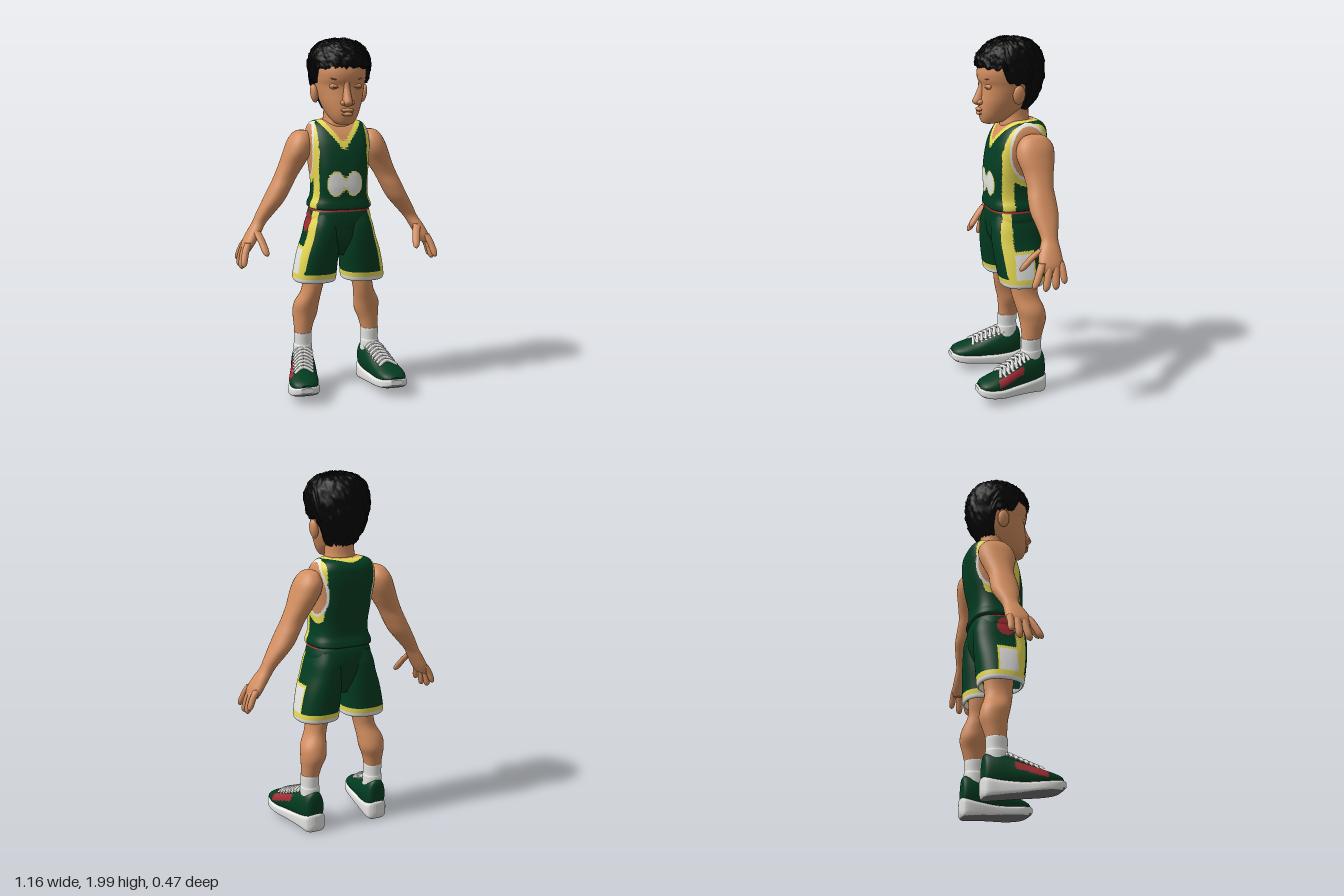
import * as THREE from 'three';

const mat = (name, color) => {
  const m = new THREE.MeshStandardMaterial({ color });
  m.name = name;
  return m;
};

// Catmull-Rom through rows of numbers, t in 0..1
function sample(rows, t) {
  const n = rows.length - 1, f = Math.min(t * n, n - 1e-6), i = Math.floor(f), k = f - i;
  const at = j => rows[Math.max(0, Math.min(n, j))];
  const [a, b, c, d] = [at(i - 1), at(i), at(i + 1), at(i + 2)];
  return b.map((_, j) => b[j] + 0.5 * k * (c[j] - a[j] + k * (2 * a[j] - 5 * b[j] + 4 * c[j] - d[j]
    + k * (3 * (b[j] - c[j]) + d[j] - a[j]))));
}

// Closed surface from a grid of points; rule(x, y, z) picks the material of each face
function skin(name, points, mats, rule) {
  const seg = points[0].length, rows = points.length;
  const centre = r => r.reduce((s, p) => s.map((v, i) => v + p[i] / seg), [0, 0, 0]);
  const cap = r => Array(seg).fill(centre(r));
  const all = [cap(points[0]), points[0], ...points, points[rows - 1], cap(points[rows - 1])];
  const v = all.flat(), buckets = mats.map(() => []);
  let volume = 0;
  const tris = [];
  for (let r = 0; r < all.length - 1; r++) for (let s = 0; s < seg; s++) {
    const a = r * seg + s, b = r * seg + (s + 1) % seg, c = a + seg, d = b + seg;
    tris.push([a, b, d], [a, d, c]);
  }
  for (const [a, b, c] of tris) {
    const [p, q, w] = [v[a], v[b], v[c]];
    volume += p[0] * (q[1] * w[2] - q[2] * w[1]) + p[1] * (q[2] * w[0] - q[0] * w[2]) + p[2] * (q[0] * w[1] - q[1] * w[0]);
  }
  for (const [a, b, c] of tris) {
    const mid = [0, 1, 2].map(i => (v[a][i] + v[b][i] + v[c][i]) / 3);
    buckets[rule ? rule(...mid) : 0].push(...(volume > 0 ? [a, b, c] : [a, c, b]));
  }
  const g = new THREE.BufferGeometry();
  g.setAttribute('position', new THREE.Float32BufferAttribute(v.flat(), 3));
  g.setIndex(buckets.flat());
  let start = 0;
  buckets.forEach((b, i) => { if (b.length) g.addGroup(start, b.length, i); start += b.length; });
  g.computeVertexNormals();
  const mesh = new THREE.Mesh(g, mats.length > 1 ? mats : mats[0]);
  mesh.name = name;
  return mesh;
}

// One superellipse ring; section = [position on axis, centre x, half width, low, high]
function ring([t, cx, rx, lo, hi], seg, pow, axis, side) {
  return Array.from({ length: seg }, (_, i) => {
    const a = i / seg * Math.PI * 2, e = 2 / pow;
    const f = w => Math.sign(w) * Math.abs(w) ** e;
    const x = side * (cx + rx * f(Math.cos(a))), o = (lo + hi) / 2 + (hi - lo) / 2 * f(Math.sin(a));
    return axis === 'y' ? [x, t, o] : [x, o, t];
  });
}

function loft(name, sections, mats, { seg = 28, rows = 32, pow = 2.1, axis = 'y', side = 1, rule } = {}) {
  const pts = Array.from({ length: rows + 1 }, (_, r) => ring(sample(sections, r / rows), seg, pow, axis, side));
  return skin(name, pts, mats, rule);
}

export function createModel() {
  const model = new THREE.Group();
  model.name = 'basketballPlayer';
  const flesh = mat('skin', 0xd38e5f), shade = mat('skinShade', 0xa86a46), black = mat('hairBlack', 0x030304);
  const green = mat('jerseyGreen', 0x023c21), yellow = mat('trimYellow', 0xe8da52), white = mat('white', 0xe4e4e2);
  const red = mat('accentRed', 0xa02a32), rubber = mat('soleGrey', 0x757577);
  const kit = [green, yellow, white, red, flesh];
  const add = (...m) => model.add(...m);
  const blob = (name, m, pos, scale, rotZ = 0) => {
    const b = new THREE.Mesh(new THREE.SphereGeometry(1, 20, 14), m);
    b.name = name;
    b.position.set(...pos);
    b.scale.set(...scale);
    b.rotation.z = rotZ;
    add(b);
  };

  // Jersey: V neck, armhole trim, side stripes and two chest patches
  add(loft('jersey', [
    [1.058, 0, 0.155, -0.185, 0.075], [1.066, 0, 0.174, -0.205, 0.09], [1.09, 0, 0.173, -0.202, 0.09],
    [1.13, 0, 0.158, -0.193, 0.085], [1.2, 0, 0.154, -0.2, 0.09], [1.3, 0, 0.163, -0.222, 0.086],
    [1.4, 0, 0.174, -0.235, 0.066], [1.46, 0, 0.174, -0.236, 0.042], [1.505, 0, 0.163, -0.23, 0.012],
    [1.535, 0, 0.138, -0.207, -0.02], [1.548, 0, 0.09, -0.17, -0.04]], kit, {
    seg: 128, rows: 120, pow: 3, rule: (x, y, z) => {
      const ax = Math.abs(x), v = y - 1.385 - ax * 1.27;
      const nape = y > 1.45 ? Math.hypot(ax / 0.115, (z + 0.08) / 0.13) : 2;
      if (z > -0.08 ? v > 0.042 : nape < 0.76) return 4;
      if (z > -0.08 ? v > 0 : nape < 1.03) return 1;
      const hole = Math.hypot((y - 1.385) / 0.15, (z + 0.1) / 0.105);
      if (ax > 0.125 && hole < 0.94) return 4;
      if (ax > 0.125 && hole < 1.04) return 2;
      if (ax > 0.136 && hole < 1.28) return 1;
      if (ax > 0.132 && z > -0.02 && z < 0.045 && y < 1.4) return 1;
      const patch = Math.hypot((ax - 0.05) / 0.05, (y - 1.205) / 0.07);
      return z > 0.02 && patch < 1 ? (patch > 0.91 ? 1 : 2) : 0;
    } }));

  // Shorts: hips plus two flared legs with trimmed hems and hollow openings
  const stripe = (x, y, z) => {
    const ax = Math.abs(x), inner = Math.hypot((ax - 0.14) / 0.122, (z + 0.068) / 0.126) < 0.86;
    if (y < 0.72 && inner) return 0;
    if (y < 0.668) return 2;
    if (y < 0.694) return 1;
    if (y > 1.05) return z > -0.12 ? 3 : 0;
    const out = ax > 0.15 + (1 - y) * 0.24;
    if (out && z > 0 && z < 0.065) return 1;
    if (out && z > -0.115 && z < 0 && y < 0.85) return z < -0.1 || y > 0.832 ? 1 : 2;
    return out && x < 0 && Math.hypot((y - 0.985) / 0.058, (z + 0.05) / 0.05) < 1 ? 3 : 0;
  };
  add(loft('shortsHips', [
    [1.07, 0, 0.158, -0.19, 0.076], [1.045, 0, 0.17, -0.2, 0.085], [1.0, 0, 0.178, -0.204, 0.086],
    [0.95, 0, 0.155, -0.2, 0.08], [0.88, 0, 0.09, -0.185, 0.066], [0.79, 0, 0.035, -0.14, 0.0]],
    kit, { seg: 80, rows: 50, pow: 2.6, rule: stripe }));

  for (const side of [1, -1]) {
    const S = o => ({ side, ...o });
    add(loft('shortsLeg', [
      [1.035, 0.083, 0.08, -0.19, 0.07], [0.97, 0.094, 0.094, -0.205, 0.087], [0.9, 0.105, 0.1, -0.206, 0.09],
      [0.82, 0.119, 0.113, -0.203, 0.082], [0.74, 0.132, 0.119, -0.198, 0.07], [0.67, 0.14, 0.122, -0.194, 0.058],
      [0.647, 0.14, 0.117, -0.187, 0.051], [0.652, 0.14, 0.106, -0.176, 0.04], [0.72, 0.14, 0.09, -0.165, 0.02]],
      kit, S({ seg: 84, rows: 96, pow: 2.4, rule: stripe })));

    // Leg and sock
    add(loft('leg', [
      [0.74, 0.14, 0.075, -0.165, 0.01], [0.64, 0.143, 0.06, -0.16, 0], [0.57, 0.156, 0.058, -0.16, -0.01],
      [0.5, 0.178, 0.071, -0.186, -0.028], [0.44, 0.184, 0.07, -0.195, -0.043], [0.38, 0.194, 0.056, -0.178, -0.05],
      [0.31, 0.2, 0.046, -0.158, -0.054]], [flesh], S()));
    add(loft('sock', [
      [0.332, 0.2, 0.046, -0.158, -0.054], [0.327, 0.2, 0.051, -0.164, -0.048], [0.27, 0.2, 0.049, -0.162, -0.05],
      [0.25, 0.2, 0.053, -0.165, -0.046], [0.16, 0.2, 0.053, -0.165, -0.04]], [white], S()));

    // Shoe upper with a slanted red flash, white sole with a grey tread
    add(loft('shoeUpper', [
      [-0.18, 0.196, 0.03, 0.07, 0.215], [-0.168, 0.197, 0.052, 0.06, 0.24], [-0.12, 0.202, 0.064, 0.05, 0.25],
      [-0.05, 0.213, 0.07, 0.05, 0.235], [0.02, 0.228, 0.076, 0.06, 0.205], [0.09, 0.244, 0.082, 0.06, 0.175],
      [0.15, 0.252, 0.08, 0.07, 0.155], [0.2, 0.256, 0.064, 0.08, 0.138], [0.224, 0.257, 0.035, 0.09, 0.12]],
    [green, red], S({
      seg: 56, rows: 56, axis: 'z', rule: (x, y, z) => Math.abs(x) > 0.25 + z * 0.2 && z > -0.035 && z < 0.128
        && Math.abs(y - 0.166 + 0.3 * z) < 0.021 ? 1 : 0 })));
    add(loft('shoeSole', [
      [-0.19, 0.195, 0.014, 0.05, 0.105], [-0.184, 0.195, 0.038, 0.022, 0.115], [-0.165, 0.197, 0.06, 0.006, 0.114],
      [-0.1, 0.205, 0.068, 0.014, 0.102], [0, 0.225, 0.076, 0.026, 0.092], [0.09, 0.245, 0.088, 0.036, 0.095],
      [0.16, 0.253, 0.086, 0.045, 0.103], [0.21, 0.256, 0.066, 0.056, 0.11], [0.236, 0.257, 0.032, 0.078, 0.108]],
    [white, rubber], S({
      seg: 48, rows: 40, pow: 4, axis: 'z', rule: (x, y, z) => y < 0.034 + 0.117 * z + (z > 0.2 ? 0.012 : 0) ? 1 : 0 })));
    for (let i = 0; i < 7; i++) for (const way of [1, -1]) {
      const z = -0.055 + i * 0.025, cx = 0.213 + (z + 0.05) * 0.22, y = 0.238 - (z + 0.05) * 0.43;
      const curve = new THREE.CatmullRomCurve3([-1, -0.5, 0, 0.5, 1].map(k =>
        new THREE.Vector3(side * (cx + k * 0.053), y + 0.008 - 0.028 * k * k, z + way * k * 0.016)));
      const lace = new THREE.Mesh(new THREE.TubeGeometry(curve, 10, 0.0095, 6), white);
      lace.name = 'shoelace';
      add(lace);
    }

    // Arm down to the palm
    add(loft('arm', [
      [1.49, 0.198, 0.015, -0.14, -0.09], [1.475, 0.2, 0.045, -0.182, -0.05], [1.43, 0.208, 0.07, -0.215, -0.017],
      [1.37, 0.225, 0.077, -0.217, -0.01], [1.3, 0.257, 0.071, -0.2, -0.03], [1.23, 0.295, 0.064, -0.184, -0.04],
      [1.17, 0.326, 0.063, -0.186, -0.034], [1.1, 0.364, 0.061, -0.186, -0.036], [1.04, 0.405, 0.052, -0.17, -0.052],
      [0.98, 0.446, 0.04, -0.154, -0.062], [0.93, 0.478, 0.04, -0.156, -0.04], [0.87, 0.512, 0.037, -0.158, -0.022],
      [0.83, 0.528, 0.025, -0.145, -0.03]], [flesh], S({ rows: 60 })));

    // Fingers and thumb as tapered digits: root, knuckle, tip
    const digits = [
      [[0.47, 0.94, -0.06], [0.445, 0.88, 0.005], [0.432, 0.815, 0.045], 0.021],
      [[0.52, 0.88, -0.04], [0.55, 0.82, -0.01], [0.557, 0.755, 0.018], 0.02],
      [[0.525, 0.87, -0.075], [0.556, 0.8, -0.06], [0.558, 0.735, -0.045], 0.02],
      [[0.525, 0.87, -0.108], [0.558, 0.81, -0.105], [0.562, 0.74, -0.1], 0.02],
      [[0.52, 0.88, -0.14], [0.555, 0.83, -0.145], [0.568, 0.77, -0.146], 0.018]];
    digits.forEach(([a, b, c, r], i) => {
      const curve = new THREE.QuadraticBezierCurve3(...[a, b, c].map(p => new THREE.Vector3(...p)));
      const secs = [[0, 1], [0.25, 1.05], [0.5, 1], [0.75, 0.98], [0.92, 0.75], [1, 0.2]].map(([t, k]) => {
        const p = curve.getPoint(t);
        return [p.y, p.x, r * k, p.z - r * k, p.z + r * k];
      });
      add(loft(i ? 'finger' : 'thumb', secs, [flesh], S({ seg: 12, rows: 14 })));
    });

    // Ear, closed eye, brow and nostril
    blob('ear', flesh, [side * 0.14, 1.695, -0.05], [0.021, 0.052, 0.034], -side * 0.15);
    blob('eyelid', flesh, [side * 0.054, 1.737, 0.095], [0.038, 0.018, 0.016]);
    blob('eyeSlit', shade, [side * 0.054, 1.731, 0.104], [0.028, 0.002, 0.009]);
    blob('brow', shade, [side * 0.055, 1.773, 0.107], [0.036, 0.004, 0.012], side * 0.2);
    blob('nostril', flesh, [side * 0.022, 1.65, 0.127], [0.017, 0.014, 0.02]);
  }

  // Neck, head, nose and lips
  add(loft('neck', [
    [1.49, 0, 0.11, -0.17, 0.005], [1.53, 0, 0.09, -0.16, 0.005], [1.58, 0, 0.08, -0.15, 0.0],
    [1.68, 0, 0.08, -0.15, 0.01]], [flesh]));
  add(loft('head', [
    [1.53, 0, 0.03, 0.045, 0.098], [1.538, 0, 0.05, 0.0, 0.113], [1.565, 0, 0.073, -0.05, 0.124],
    [1.6, 0, 0.092, -0.11, 0.13], [1.65, 0, 0.112, -0.15, 0.127], [1.7, 0, 0.125, -0.175, 0.12],
    [1.74, 0, 0.133, -0.19, 0.118], [1.775, 0, 0.139, -0.2, 0.13], [1.82, 0, 0.143, -0.205, 0.131],
    [1.88, 0, 0.135, -0.2, 0.11], [1.94, 0, 0.1, -0.16, 0.05]], [flesh], { seg: 48, rows: 50, pow: 2.2 }));
  add(loft('nose', [
    [1.775, 0, 0.018, 0.08, 0.125], [1.73, 0, 0.019, 0.08, 0.132], [1.69, 0, 0.023, 0.08, 0.149],
    [1.655, 0, 0.027, 0.08, 0.166], [1.64, 0, 0.025, 0.08, 0.158], [1.63, 0, 0.014, 0.09, 0.135]], [flesh], { seg: 24 }));
  blob('upperLip', flesh, [0, 1.61, 0.126], [0.036, 0.011, 0.02]);
  blob('mouthLine', shade, [0, 1.599, 0.133], [0.03, 0.002, 0.01]);
  blob('lowerLip', flesh, [0, 1.588, 0.126], [0.03, 0.01, 0.019]);

  // Hair: ruffled cap, hairline high in front, sideburns, tapering to the nape
  const profile = [
    [1.6, 0, 0.09, -0.145, 0.11], [1.67, 0, 0.126, -0.2, 0.125], [1.74, 0, 0.153, -0.226, 0.133],
    [1.81, 0, 0.167, -0.233, 0.14], [1.88, 0, 0.168, -0.228, 0.137], [1.935, 0, 0.146, -0.2, 0.1],
    [1.972, 0, 0.1, -0.155, 0.045], [1.99, 0, 0.03, -0.08, -0.01]];
  const seg = 90, rows = 28, step = THREE.MathUtils.smoothstep;
  const noise = (i, j) => { const n = Math.sin(i * 12.99 + j * 78.23) * 43758.5; return n - Math.floor(n); };
  const hairRow = (r, shrink) => Array.from({ length: seg }, (_, i) => {
    const c = Math.sin(i / seg * Math.PI * 2);
    const low = 1.61 + 0.14 * step(c, -0.5, -0.2) + 0.08 * step(c, 0.25, 0.5) + 0.014 * noise(i, 3);
    const t0 = (low - 1.6) / 0.49, k = r / rows;
    const p = ring(sample(profile, t0 + (1 - t0) * k), seg, 2.15, 'y', 1)[i];
    const puff = shrink * (1 + 0.075 * (noise(i, r) - 0.5));
    return [p[0] * puff, p[1] + 0.014 * (noise(r, i) - 0.5), -0.045 + (p[2] + 0.045) * puff];
  });
  add(skin('hair', [hairRow(0, 0.8), ...Array.from({ length: rows + 1 }, (_, r) => hairRow(r, 1))], [black]));
  return model;
}
